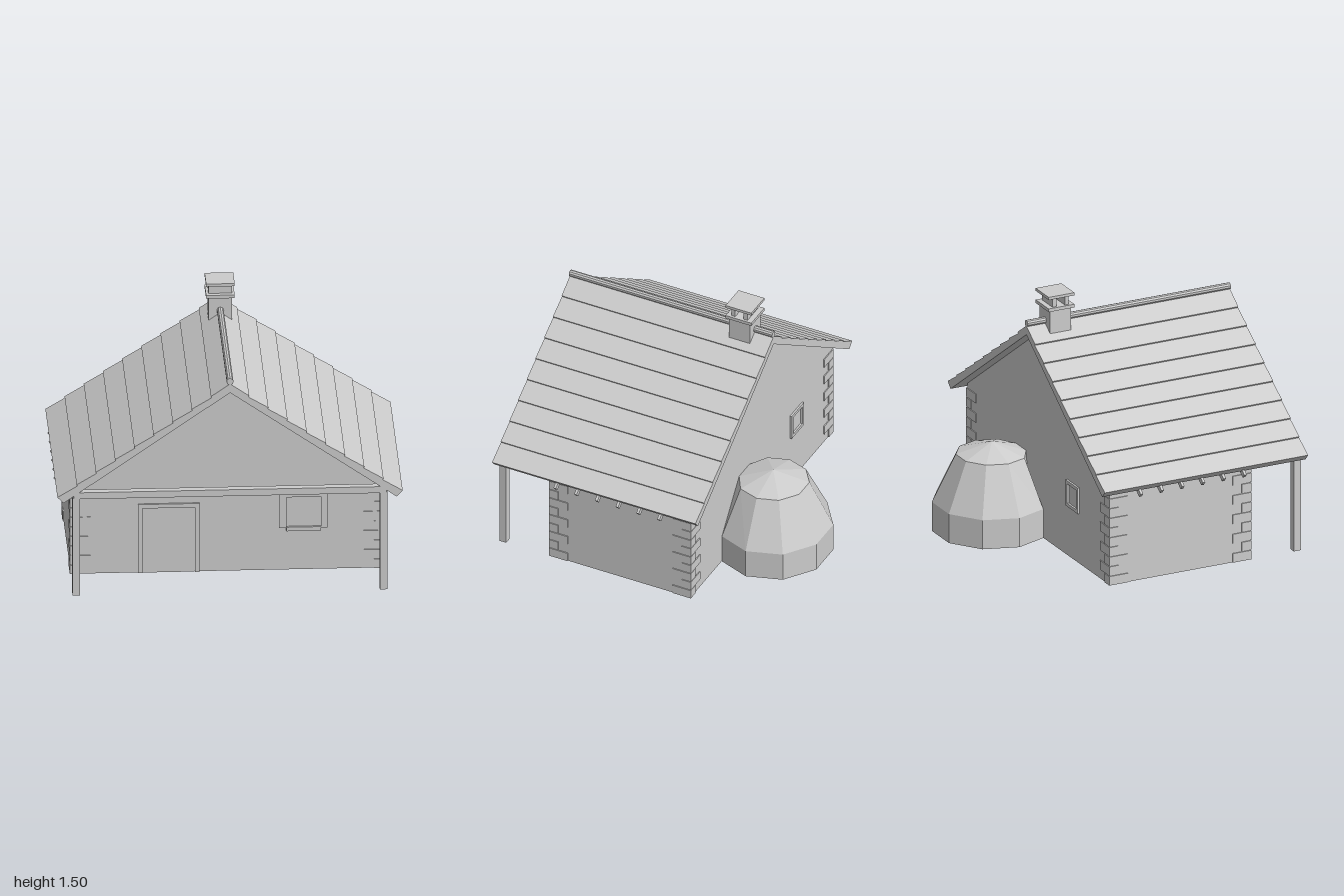
import * as THREE from 'three';

const grey = new THREE.MeshStandardMaterial({ color: 0xcccccc, flatShading: true, side: THREE.DoubleSide });
grey.name = 'plain grey';

export function createModel() {
  const house = new THREE.Group();
  house.name = 'cottage';

  const add = (name, geometry, parent = house) => {
    const mesh = new THREE.Mesh(geometry, grey);
    mesh.name = name;
    parent.add(mesh);
    return mesh;
  };
  // box given by its limits on each axis
  const box = (name, x0, x1, y0, y1, z0, z1, parent) => {
    const g = new THREE.BoxGeometry(x1 - x0, y1 - y0, z1 - z0);
    g.translate((x0 + x1) / 2, (y0 + y1) / 2, (z0 + z1) / 2);
    return add(name, g, parent);
  };
  // xy outline extruded from z0 to z1
  const slab = (name, points, z0, z1, parent) => {
    const shape = new THREE.Shape(points.map(([x, y]) => new THREE.Vector2(x, y)));
    const g = new THREE.ExtrudeGeometry(shape, { depth: z1 - z0, bevelEnabled: false });
    g.translate(0, 0, z0);
    return add(name, g, parent);
  };

  const W = 0.905, FRONT = 0.55, BACK = -0.36;
  const topY = x => 1.31 - 0.69 * x;
  const underY = x => 1.255 - 0.697 * x;

  // Gable walls and side walls, open below
  const gable = [[-W, 0], [W, 0], [W, underY(W)], [0, underY(0)], [-W, underY(W)]];
  slab('frontWall', gable, FRONT - 0.01, FRONT);
  slab('backWall', gable, BACK, BACK + 0.01);
  for (const s of [-1, 1]) {
    const x = s * (W - 0.005);
    box('sideWall', x - 0.005, x + 0.005, 0, 0.63, BACK + 0.01, FRONT - 0.01);
  }

  // Interlocking log ends at the four corners
  const logs = new THREE.Group();
  logs.name = 'cornerLogs';
  house.add(logs);
  const rows = 10, step = 0.6 / rows;
  for (const sx of [-1, 1]) for (const sz of [-1, 1]) {
    const cx = sx * (W + 0.006), cz = sz > 0 ? FRONT + 0.006 : BACK - 0.006;
    for (let i = 0; i < rows; i++) {
      const ex = cx - sx * (i % 2 ? 0.12 : 0.06), ez = cz - sz * (i % 2 ? 0.06 : 0.12);
      box('logEnd', Math.min(cx, ex), Math.max(cx, ex), i * step, (i + 0.93) * step,
        Math.min(cz, ez), Math.max(cz, ez), logs);
    }
  }

  // Roof halves with lapped planks, and rafter tails under the eaves
  const planks = 9;
  for (const s of [-1, 1]) {
    const outline = [[0, underY(0)], [0, topY(0)]];
    for (let i = 0; i < planks; i++) {
      const x = (i + 1) / planks;
      outline.push([s * x, topY(x)]);
      if (i < planks - 1) outline.push([s * (x - 0.004), topY(x) - 0.008]);
    }
    outline.push([s * 0.965, underY(0.965)]);
    slab('roofPlanks', outline, -0.44, 0.88);

    const tail = [[0.9, 0.65], [1, 0.57], [0.98, 0.548], [0.9, 0.604]].map(([x, y]) => [s * x, y]);
    for (let i = 0; i < 6; i++) {
      const z = 0.473 - i * 0.1345;
      slab('rafterTail', tail, z - 0.008, z + 0.008);
    }
  }
  const ridge = new THREE.CylinderGeometry(0.02, 0.02, 1.32, 10);
  ridge.rotateX(Math.PI / 2).translate(0, 1.325, 0.22);
  add('ridgePole', ridge);

  // Porch posts and tie beam
  for (const s of [-1, 1]) {
    const x = s * 0.89;
    box('porchPost', x - 0.022, x + 0.022, 0, 0.61, 0.832, 0.877);
  }
  box('porchBeam', -W, W, 0.605, 0.645, 0.832, 0.877);

  // Chimney with a raised cap
  const chimney = new THREE.Group();
  chimney.name = 'chimney';
  house.add(chimney);
  box('stack', -0.068, 0.068, 1.2, 1.41, -0.32, -0.185, chimney);
  box('collar', -0.083, 0.083, 1.405, 1.425, -0.337, -0.17, chimney);
  box('capSupport', -0.068, 0.068, 1.42, 1.485, -0.225, -0.2, chimney);
  box('capSupport', -0.068, 0.068, 1.42, 1.485, -0.305, -0.28, chimney);
  box('cap', -0.083, 0.083, 1.48, 1.497, -0.337, -0.17, chimney);

  // Front door with its frame
  box('door', -0.49, -0.19, 0, 0.405, FRONT - 0.015, FRONT + 0.004);
  box('doorJamb', -0.515, -0.49, 0, 0.43, FRONT - 0.015, FRONT + 0.012);
  box('doorJamb', -0.185, -0.16, 0, 0.43, FRONT - 0.015, FRONT + 0.012);
  box('doorLintel', -0.49, -0.185, 0.405, 0.43, FRONT - 0.015, FRONT + 0.012);

  // Front window
  box('windowSideBoard', 0.3, 0.343, 0.265, 0.475, FRONT - 0.015, FRONT + 0.015);
  box('windowSideBoard', 0.543, 0.585, 0.265, 0.475, FRONT - 0.015, FRONT + 0.015);
  box('windowSill', 0.343, 0.543, 0.245, 0.27, FRONT - 0.015, FRONT + 0.015);
  box('windowLintel', 0.343, 0.543, 0.455, 0.475, FRONT - 0.015, FRONT + 0.008);

  // Small back window
  for (const x of [-0.52, -0.385]) box('backWindowJamb', x, x + 0.02, 0.31, 0.47, BACK - 0.012, BACK + 0.015);
  for (const y of [0.31, 0.45]) box('backWindowRail', -0.5, -0.385, y, y + 0.02, BACK - 0.012, BACK + 0.015);

  // Ten-sided domed oven, flattened where it meets the back wall
  const profile = [[0.352, 0], [0.352, 0.18], [0.212, 0.468], [0, 0.535]];
  const dome = new THREE.LatheGeometry(profile.map(([r, y]) => new THREE.Vector2(r, y)), 10, Math.PI / 2);
  dome.translate(0.222, 0, -0.55);
  const p = dome.attributes.position;
  for (let i = 0; i < p.count; i++) p.setZ(i, Math.min(p.getZ(i), BACK - 0.002));
  dome.computeVertexNormals();
  add('domedOven', dome);

  return house;
}
